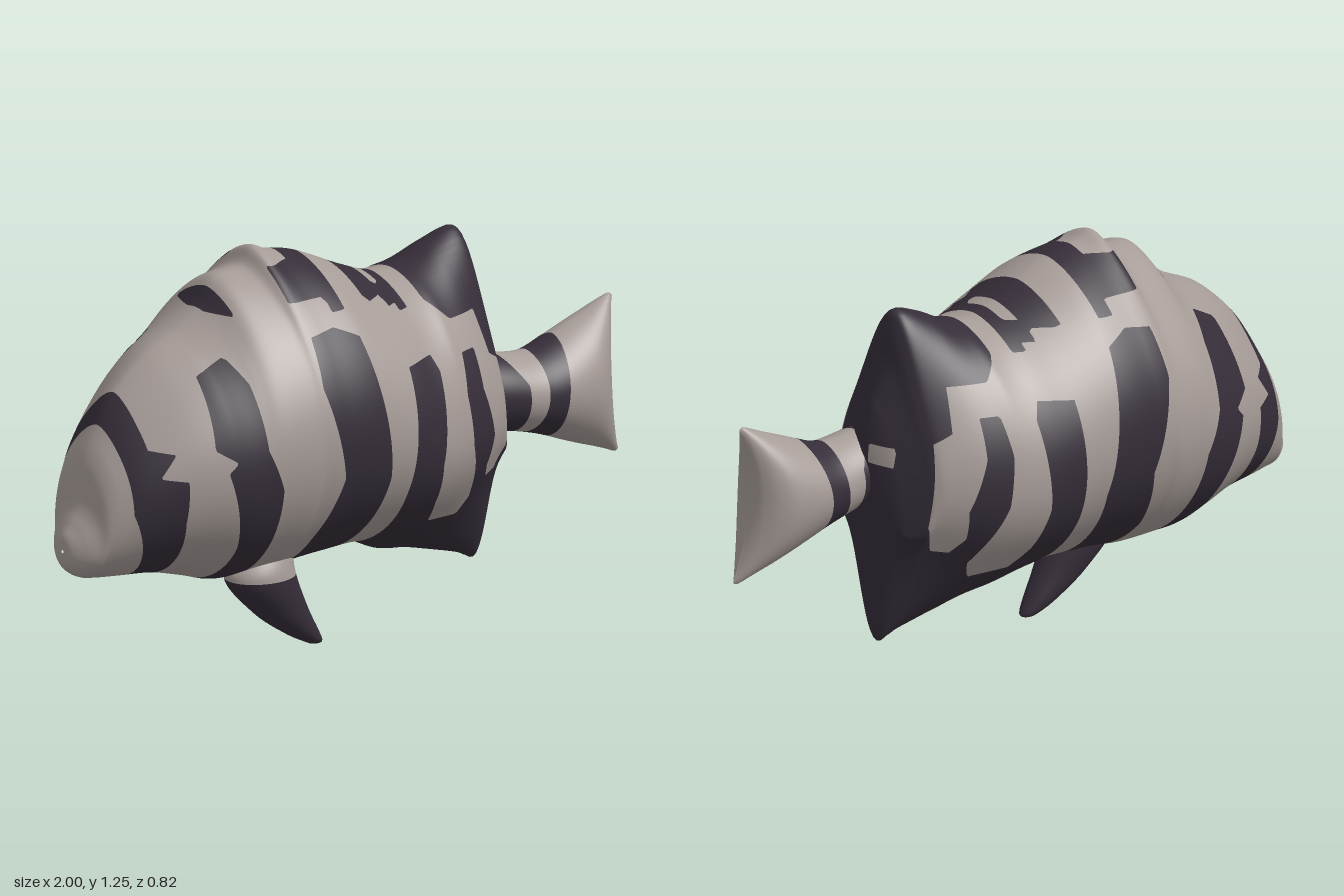
import * as THREE from 'three';

const { smoothstep, lerp } = THREE.MathUtils;
const light = new THREE.MeshStandardMaterial({ color: 0xa59b97 });
light.name = 'paleGrey';
const dark = new THREE.MeshStandardMaterial({ color: 0x352d38 });
dark.name = 'darkPlum';

// Body cross-sections from snout to rear: [x, top, bottom, half width]
const BODY = [
  [-1, 0.42, 0.41, 0.005], [-0.995, 0.46, 0.365, 0.04], [-0.97, 0.5, 0.34, 0.085],
  [-0.94, 0.56, 0.325, 0.12], [-0.92, 0.68, 0.32, 0.145], [-0.88, 0.77, 0.315, 0.18],
  [-0.82, 0.87, 0.31, 0.225], [-0.7, 0.98, 0.3, 0.295], [-0.58, 1.04, 0.27, 0.35],
  [-0.5, 1.1, 0.245, 0.375], [-0.44, 1.18, 0.24, 0.388], [-0.34, 1.195, 0.24, 0.4],
  [-0.3, 1.25, 0.24, 0.403], [-0.24, 1.23, 0.25, 0.407], [-0.13, 1.205, 0.26, 0.41],
  [0.04, 1.13, 0.265, 0.398], [0.16, 1.09, 0.22, 0.378], [0.26, 1.1, 0.205, 0.352],
  [0.36, 1.15, 0.18, 0.315], [0.45, 1.18, 0.155, 0.262], [0.48, 1.13, 0.145, 0.238],
  [0.5, 1.02, 0.135, 0.215], [0.53, 0.93, 0.13, 0.17], [0.55, 0.88, 0.22, 0.13],
  [0.57, 0.78, 0.5, 0.05], [0.572, 0.68, 0.64, 0.005],
];

// Tail cross-sections: [x, top, bottom, half width]
const TAIL = [
  [0.42, 0.8, 0.54, 0.1], [0.54, 0.785, 0.54, 0.118], [0.66, 0.775, 0.515, 0.13],
  [0.76, 0.81, 0.48, 0.138], [0.85, 0.855, 0.437, 0.13], [0.9, 0.883, 0.412, 0.103],
  [0.93, 0.897, 0.397, 0.065], [0.942, 0.893, 0.4, 0.033], [0.946, 0.885, 0.405, 0],
];

// Belly fin slices from root to tip: [y, front x, rear x, half width]
const FIN = [
  [0.34, -0.4, -0.24, 0.07], [0.25, -0.46, -0.23, 0.095], [0.13, -0.36, -0.18, 0.072],
  [0.05, -0.25, -0.137, 0.048], [0.01, -0.175, -0.118, 0.026], [0, -0.15, -0.13, 0.002],
];

// Side-view outlines of the markings, as x, y pairs
const HEAD_BAND = [-0.87, 0.95, -0.81, 0.95, -0.81, 0.74, -0.75, 0.73, -0.8, 0.66, -0.73, 0.65,
  -0.73, 0.52, -0.68, 0.2, -0.76, 0.2, -0.83, 0.43, -0.87, 0.55];
const GILL_BAND = [-0.64, 0.84, -0.63, 0.94, -0.54, 0.99, -0.51, 0.92, -0.5, 0.73, -0.45, 0.6,
  -0.41, 0, -0.5, 0, -0.55, 0.41, -0.62, 0.67, -0.59, 0.7, -0.65, 0.74];
const MIDDLE_BAND = [-0.29, 1.03, -0.2, 1.045, -0.12, 1.01, -0.055, 0.57, -0.09, 0,
  -0.25, 0, -0.27, 0.39, -0.23, 0.6, -0.3, 0.89];
const REAR_MARKING = [0.04, 0.89, 0.15, 0.9, 0.17, 0.85, 0.15, 0.57, 0.17, 0.43, 0.2, 0.35, 0.33, 0.34,
  0.355, 0.4, 0.285, 0.6, 0.265, 0.76, 0.28, 0.88, 0.34, 0.88, 0.345, 0.76, 0.4, 0.6, 0.39, 0.5,
  0.42, 0.45, 0.47, 0.46, 0.5, 0.55, 0.47, 0.81, 0.42, 0.84, 0.4, 0.97, 0.28, 0.97,
  0.22, 1.03, 0.22, 1.4, 0.8, 1.4, 0.8, 0, 0.05, 0, 0.03, 0.5];

// Patches across the back: [front x, rear x, lowest y, highest y]
const BACK_PATCHES = [
  [-0.505, -0.465, 1.09, 2], [-0.31, -0.2, 1.12, 1.21], [-0.215, -0.19, 1.12, 2], [-0.18, -0.13, 1.08, 2],
  [-0.02, 0.075, 1.07, 2], [0.07, 0.115, 1.04, 1.085], [0.11, 0.15, 1.02, 2],
];

// Even-odd test of a side-view point against one outline
function isInside(p, x, y) {
  let inside = false;
  for (let i = 0, j = p.length - 2; i < p.length; j = i, i += 2) {
    const crosses = (p[i + 1] > y) !== (p[j + 1] > y);
    if (crosses && x < ((p[j] - p[i]) * (y - p[i + 1])) / (p[j + 1] - p[i + 1]) + p[i]) inside = !inside;
  }
  return inside;
}

// Body markings, leaving a small pale fleck beside the tail root
const bodyIsDark = ([x, y, z]) =>
  !(x > 0.5 && Math.abs(y - 0.75) < 0.03 && Math.abs(z + 0.06) < 0.045) &&
  ([HEAD_BAND, GILL_BAND, MIDDLE_BAND, REAR_MARKING].some((outline) => isInside(outline, x, y)) ||
    BACK_PATCHES.some(([x0, x1, low, high]) => x > x0 && x < x1 && y > low && y < high));

// Dark tail root and one slightly curved bar
const tailIsDark = ([x, y]) =>
  x < 0.59 - Math.max(0, y - 0.7) * 0.6 || Math.abs(x - 0.69 - (y - 0.65) * 0.1) < 0.035 + 0.6 * (y - 0.65) ** 2;

// Smooth skin through the sections; faces are cut along the edges of the markings
function loft(name, sections, steps, sides, place, isDark) {
  const size = sections[0].length;
  const spline = new THREE.CubicInterpolant(sections.map((_, i) => i), sections.flat(), size, new Float32Array(size));
  const rings = (sections.length - 1) * steps;
  const points = [];
  for (let i = 0; i <= rings; i++) {
    const v = Array.from(spline.evaluate(i / steps));
    for (let j = 0; j < sides; j++) {
      const t = (j / sides) * Math.PI * 2, a = t - 0.2 * Math.sin(2 * t);
      points.push(place(v, Math.cos(a), Math.sin(a)));
    }
  }
  const tone = points.map((p) => (isDark(p) ? 1 : 0));
  const cuts = new Map();
  const faces = [[], []];

  // Point where an edge passes from one colour to the other
  function cut(a, b) {
    const key = Math.min(a, b) + ':' + Math.max(a, b);
    if (!cuts.has(key)) {
      let near = 0, far = 1;
      const at = (t) => points[a].map((n, k) => lerp(n, points[b][k], t));
      for (let i = 0; i < 10; i++) {
        const half = (near + far) / 2;
        if (isDark(at(half)) === (tone[a] === 1)) near = half;
        else far = half;
      }
      cuts.set(key, points.push(at(near)) - 1);
    }
    return cuts.get(key);
  }
  function addFace(a, b, c) {
    if (tone[a] === tone[b] && tone[b] === tone[c]) faces[tone[a]].push(a, b, c);
    else if (tone[b] !== tone[c]) addFace(b, c, a);
    else {
      const p = cut(a, b), q = cut(a, c);
      faces[tone[a]].push(a, p, q);
      faces[tone[b]].push(p, b, c, p, c, q);
    }
  }
  for (let i = 0; i < rings; i++) {
    for (let j = 0; j < sides; j++) {
      const a = i * sides + j, d = i * sides + ((j + 1) % sides);
      addFace(a, a + sides, d);
      addFace(d, a + sides, d + sides);
    }
  }
  const geo = new THREE.BufferGeometry();
  geo.setAttribute('position', new THREE.Float32BufferAttribute(points.flat(), 3));
  geo.setIndex(faces[0].concat(faces[1]));
  geo.addGroup(0, faces[0].length, 0);
  geo.addGroup(faces[0].length, faces[1].length, 1);
  geo.computeVertexNormals();
  const mesh = new THREE.Mesh(geo, [light, dark]);
  mesh.name = name;
  return mesh;
}

// Lens-shaped section: rounded flanks, ridged above and below
const lens = (c, power) => Math.sign(c) * Math.abs(c) ** power;

// Rounded trunk inside the outline; what rises beyond it is a narrow crest or fin
function placeBody([x, top, bottom, w], c, s) {
  const reach = Math.max(0, 1 - Math.max(0, (x + 0.15) / 0.722) ** 1.7);
  const back = Math.min(top, 0.67 + 0.53 * reach ** 0.5, 1.205 - 0.9 * Math.max(0, -0.2 - x) ** 1.8);
  const belly = Math.max(bottom, 0.67 - 0.43 * reach ** 0.32);
  const mid = bottom + (top - bottom) * 0.48;
  const crest = s ** 6;
  const y = s > 0 ? mid + s * (back - mid) + crest * (top - back) : mid + s * (mid - belly) - crest * (belly - bottom);
  return [x, y, lens(c, 1.2 - 0.2 * smoothstep(x, 0.1, 0.4)) * w];
}

export function createModel() {
  const fish = new THREE.Group();
  fish.name = 'stripedFish';

  fish.add(loft('body', BODY, 8, 140, placeBody, bodyIsDark));

  // Tail, with its corners swept back
  fish.add(loft('tailFin', TAIL, 8, 80, ([x, top, bottom, w], c, s) => [
    x + smoothstep(x, 0.76, 0.946) * (0.045 * s * s - 0.012 * s),
    (top + bottom) / 2 + (s * (top - bottom)) / 2,
    0.095 + lens(c, 1.2) * w,
  ], tailIsDark));

  // Single fin under the left side of the belly, pale at its root
  fish.add(loft('bellyFin', FIN, 10, 48, ([y, front, rear, w], c, s) => [
    (front + rear) / 2 + (c * (rear - front)) / 2, y, 0.11 - s * w,
  ], ([, y]) => y < 0.25));

  return fish;
}
